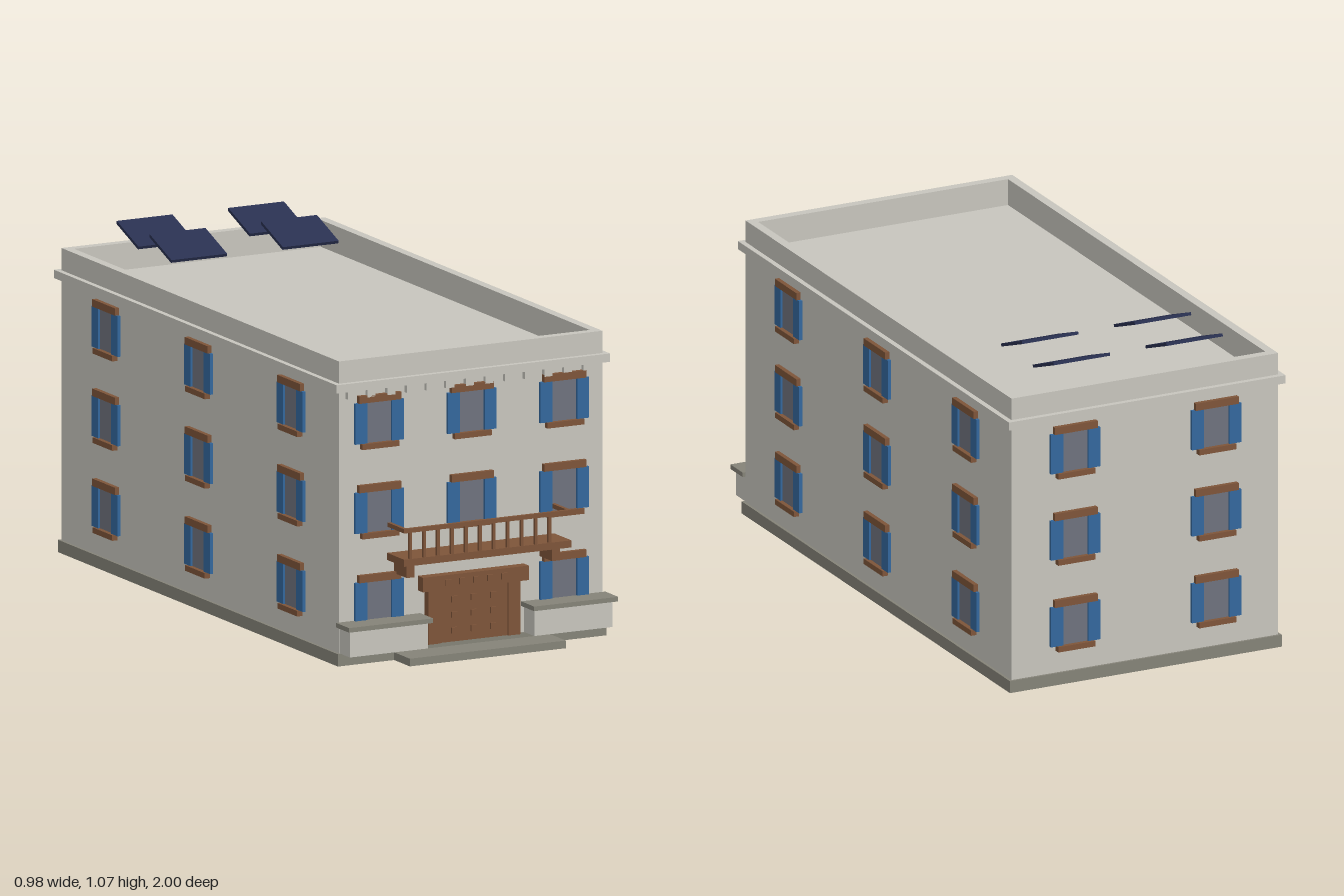
import * as THREE from 'three';

const mat = (name, color) => {
  const m = new THREE.MeshStandardMaterial({ color });
  m.name = name;
  return m;
};

export function createModel() {
  const wall = mat('plaster', 0xcac8c0);
  const stone = mat('stone', 0x87857a);
  const wood = mat('wood', 0x80563a);
  const blue = mat('shutterBlue', 0x34699f);
  const glass = mat('glass', 0x70747f);
  const solar = mat('solarNavy', 0x293050);

  const root = new THREE.Group();
  root.name = 'building';

  // Box given by its min/max on each axis
  const box = (parent, name, m, x0, x1, y0, y1, z0, z1) => {
    const mesh = new THREE.Mesh(new THREE.BoxGeometry(x1 - x0, y1 - y0, z1 - z0), m);
    mesh.position.set((x0 + x1) / 2, (y0 + y1) / 2, (z0 + z1) / 2);
    mesh.name = name;
    parent.add(mesh);
    return mesh;
  };
  const group = (name) => {
    const g = new THREE.Group();
    g.name = name;
    root.add(g);
    return g;
  };

  const W = 0.473, BACK = -0.981, FRONT = 0.885, MID = (BACK + FRONT) / 2;

  // Main volume
  box(root, 'plinth', stone, -0.482, 0.482, 0, 0.04, BACK - 0.008, FRONT + 0.01);
  box(root, 'body', wall, -W, W, 0.04, 0.9, BACK, FRONT);

  // Rectangular ring, extruded upwards
  const ring = (name, m, hx, hz, ix, iz, y0, y1) => {
    const rect = (P, a, b) => {
      const p = new P();
      p.moveTo(-a, -b); p.lineTo(a, -b); p.lineTo(a, b); p.lineTo(-a, b); p.closePath();
      return p;
    };
    const s = rect(THREE.Shape, hx, hz);
    s.holes.push(rect(THREE.Path, ix, iz));
    const geo = new THREE.ExtrudeGeometry(s, { depth: y1 - y0, bevelEnabled: false });
    geo.rotateX(-Math.PI / 2);
    const mesh = new THREE.Mesh(geo, m);
    mesh.position.set(0, y0, MID);
    mesh.name = name;
    root.add(mesh);
  };
  const HZ = (FRONT - BACK) / 2;
  ring('parapet', wall, W, HZ, W - 0.03, HZ - 0.03, 0.9, 0.987);
  ring('cornice', wall, W + 0.018, HZ + 0.018, W - 0.01, HZ - 0.01, 0.888, 0.915);

  // Small blocks under the front cornice
  const corbels = group('corbels');
  for (let i = 0; i < 13; i++) {
    const x = -0.434 + i * 0.0705;
    box(corbels, 'corbel', wall, x - 0.0145, x + 0.0145, 0.863, 0.888, FRONT, FRONT + 0.015);
  }

  // One window with shutters, lintel and sill, facing +z, origin at the glass centre
  const addWindow = (x, y, z, ry) => {
    const w = group('window');
    box(w, 'pane', glass, -0.045, 0.045, -0.066, 0.066, 0, 0.004);
    for (const s of [-1, 1]) {
      box(w, 'shutter', blue, s * 0.066 - 0.0215, s * 0.066 + 0.0215, -0.066, 0.066, 0, 0.011);
    }
    box(w, 'lintel', wood, -0.076, 0.076, 0.066, 0.09, 0, 0.015);
    box(w, 'sill', wood, -0.066, 0.066, -0.084, -0.066, 0, 0.019);
    w.position.set(x, y, z);
    w.rotation.y = ry;
  };
  [0.197, 0.489, 0.779].forEach((y, row) => {
    for (const x of [-0.332, 0, 0.332]) {
      if (row > 0 || x !== 0) addWindow(x, y, FRONT, 0);
    }
    for (const x of [-0.25, 0.25]) addWindow(x, y, BACK, Math.PI);
    for (const s of [-1, 1]) {
      for (const dz of [-0.622, 0, 0.622]) addWindow(s * W, y, MID + dz, s * Math.PI / 2);
    }
  });

  // Entrance: step, door, studs and lintel
  const door = group('entrance');
  box(door, 'step', stone, -0.28, 0.28, 0, 0.025, FRONT, 1);
  box(door, 'doorPanel', wood, -0.122, 0.122, 0.04, 0.215, FRONT, FRONT + 0.018);
  for (const s of [-1, 1]) {
    box(door, 'jamb', wood, s * 0.1435 - 0.0215, s * 0.1435 + 0.0215, 0.04, 0.215, FRONT, FRONT + 0.025);
  }
  box(door, 'doorLintel', wood, -0.19, 0.19, 0.215, 0.262, FRONT, FRONT + 0.035);
  const stud = (x, y, z) =>
    box(door, 'stud', wood, x - 0.01, x + 0.01, y - 0.01, y + 0.01, z, z + 0.006);
  for (const x of [-0.07, 0, 0.07]) {
    for (const y of [0.077, 0.128, 0.178]) stud(x, y, FRONT + 0.018);
  }
  for (let i = -2; i <= 2; i++) stud(i * 0.05, 0.238, FRONT + 0.035);

  // Low capped walls beside the entrance
  for (const s of [-1, 1]) {
    const g = group(s > 0 ? 'leftTerraceWall' : 'rightTerraceWall');
    box(g, 'terraceWall', wall, s * 0.331 - 0.14, s * 0.331 + 0.14, 0.04, 0.125, FRONT, 0.955);
    box(g, 'terraceCap', stone, s * 0.332 - 0.151, s * 0.332 + 0.151, 0.125, 0.14, FRONT, 0.972);
  }

  // Balcony with brackets and railing
  const balcony = group('balcony');
  box(balcony, 'balconySlab', wood, -0.3, 0.3, 0.325, 0.348, FRONT, 1);
  box(balcony, 'frontRail', wood, -0.3, 0.3, 0.433, 0.447, 0.988, 1);
  for (const s of [-1, 1]) {
    box(balcony, 'bracket', wood, s * 0.261 - 0.014, s * 0.261 + 0.014, 0.28, 0.325, FRONT, 0.97);
    box(balcony, 'sideRail', wood, s * 0.294 - 0.006, s * 0.294 + 0.006, 0.433, 0.447, FRONT, 0.988);
  }
  for (let i = 0; i < 11; i++) {
    const x = -0.276 + i * 0.05;
    box(balcony, 'baluster', wood, x - 0.005, x + 0.005, 0.348, 0.433, 0.989, 0.999);
  }

  // Tilted roof panels
  for (const x of [-0.2, 0.2]) {
    for (const z of [-0.862, -0.64]) {
      const p = new THREE.Mesh(new THREE.BoxGeometry(0.2, 0.01, 0.156), solar);
      p.position.set(x, 1.034, z);
      p.rotation.x = 0.36;
      p.name = 'solarPanel';
      root.add(p);
    }
  }

  return root;
}
